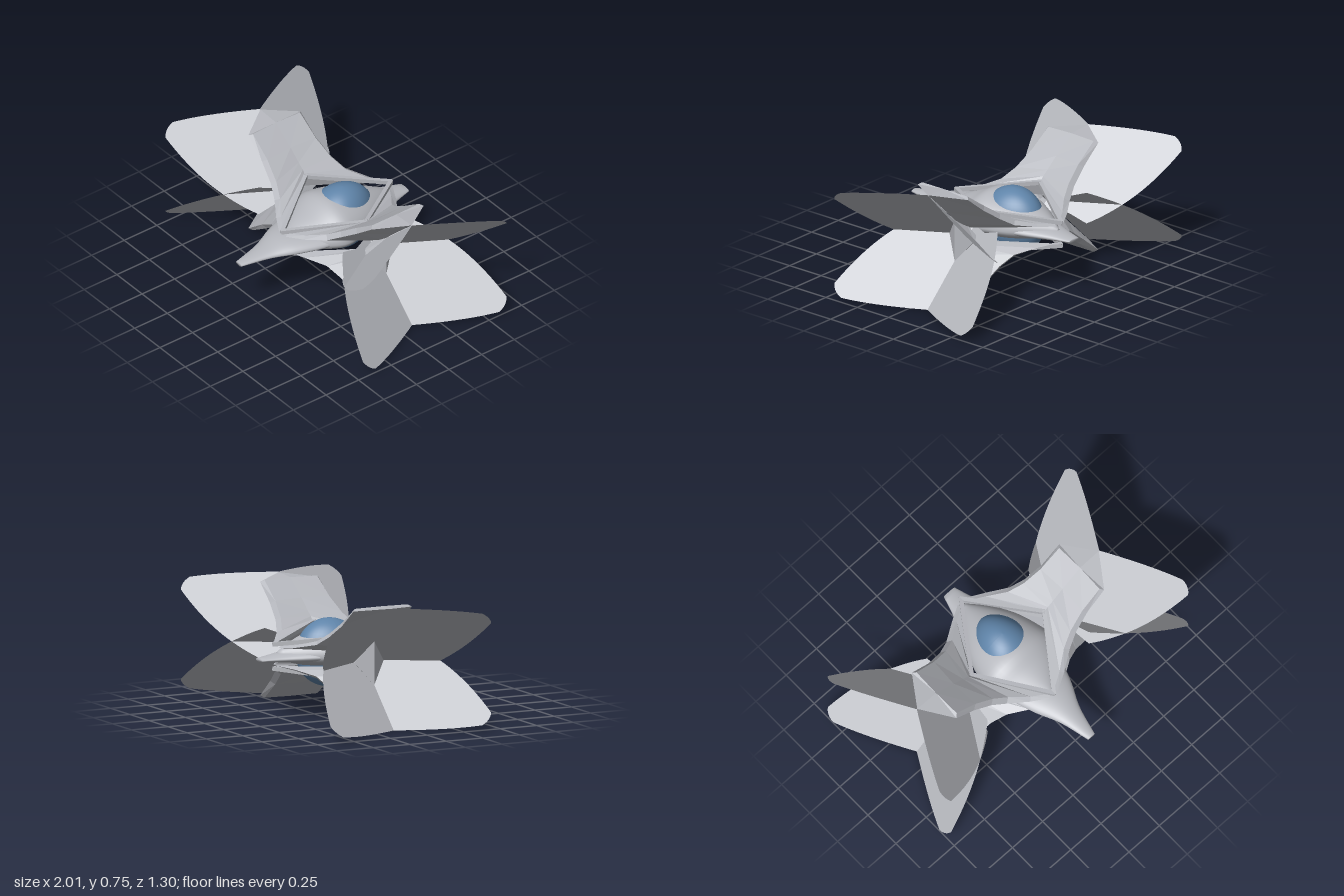
import * as THREE from 'three';

const MID = 0.375;   // height of the symmetry plane
const ZC = -0.1;     // depth of the wing axis

// Skin closed rings of [x, y, z] points, with fan caps at both ends
function loft(rings, flat) {
  const n = rings[0].length, pos = rings.flat(2), idx = [];
  for (let i = 0; i < rings.length - 1; i++) {
    for (let j = 0; j < n; j++) {
      const a = i * n + j, b = i * n + (j + 1) % n;
      idx.push(a, b, a + n, b, b + n, a + n);
    }
  }
  const last = (rings.length - 1) * n;
  for (let j = 1; j < n - 1; j++) {
    idx.push(0, j + 1, j, last, last + j, last + j + 1);
  }
  let g = new THREE.BufferGeometry();
  g.setAttribute('position', new THREE.Float32BufferAttribute(pos, 3));
  g.setIndex(idx);
  if (flat) g = g.toNonIndexed();
  g.computeVertexNormals();
  return g;
}

// Elliptical hull from smoothed stations [z, halfWidth, up, down, centreY]
function hull(stations) {
  const curveA = new THREE.CatmullRomCurve3(stations.map(s => new THREE.Vector3(s[0], s[1], s[2])));
  const curveB = new THREE.CatmullRomCurve3(stations.map(s => new THREE.Vector3(s[0], s[3], s[4])));
  const rings = [], steps = (stations.length - 1) * 4;
  for (let i = 0; i <= steps; i++) {
    const a = curveA.getPoint(i / steps), b = curveB.getPoint(i / steps), ring = [];
    for (let j = 0; j < 40; j++) {
      const t = j / 40 * Math.PI * 2, s = Math.sin(t);
      ring.push([a.y * Math.cos(t), b.z + s * (s > 0 ? a.z : b.y), a.x]);
    }
    rings.push(ring);
  }
  return loft(rings, false);
}

// One leaf-shaped panel, outlined in (z, y) and tilted onto its plane.
// Its root runs past the symmetry plane, so that paired leaves cross.
function leafGeometry() {
  const s = new THREE.Shape();
  s.moveTo(0, 0.33);
  s.lineTo(0.15, 0.32);
  s.lineTo(0.27, 0.275);
  s.quadraticCurveTo(0.335, 0.31, 0.4, MID);
  s.quadraticCurveTo(0.5, 0.475, 0.55, 0.65);
  s.quadraticCurveTo(0.53, 0.69, 0.475, 0.718);
  s.quadraticCurveTo(0.3, 0.745, 0, 0.75);
  const g = new THREE.ShapeGeometry(s, 12), p = g.attributes.position;
  for (let i = 0; i < p.count; i++) {
    const t = p.getX(i), y = p.getY(i);
    p.setXYZ(i, 0.36 + 1.05 * (y - MID) + 0.6 * t, y, t);
  }
  g.computeVertexNormals();
  return g;
}

// Wing arm: broad inner face, narrow bevel and an outer ridge.
// The root is notched to follow the diamond opening round the dome.
function armGeometry() {
  // edge x, edge y, half width, middle x, middle y, ridge x, ridge y, bevel depth
  const stations = [
    [0.02, 0.44, 0.41, 0.30, 0.505, 0.33, 0.42, 0.015],
    [0.12, 0.455, 0.35, 0.31, 0.52, 0.36, 0.42, 0.02],
    [0.23, 0.49, 0.27, 0.33, 0.54, 0.40, 0.43, 0.03],
    [0.32, 0.548, 0.23, 0.37, 0.57, 0.46, 0.47, 0.03],
    [0.44, 0.632, 0.205, 0.45, 0.636, 0.57, 0.58, 0.03],
    [0.59, 0.737, 0.2, 0.595, 0.74, 0.75, 0.748, 0.02],
  ];
  return loft(stations.map(([x, y, w, mx, my, rx, ry, b]) => [
    [mx, my, ZC], [x, y, ZC + w - 0.02], [x + b, y - b * 0.6, ZC + w],
    [rx, ry, ZC], [x + b, y - b * 0.6, ZC - w], [x, y, ZC - w + 0.02],
  ]), true);
}

export function createModel() {
  const model = new THREE.Group();
  const grey = new THREE.MeshStandardMaterial({ color: 0xb6b8be });
  grey.side = THREE.DoubleSide;
  const blue = new THREE.MeshStandardMaterial({ color: 0x5f84a9 });

  const add = (parent, name, geometry, material = grey) => {
    const m = new THREE.Mesh(geometry, material);
    m.name = name;
    parent.add(m);
    return m;
  };

  // Flat hull with pointed nose and blunt tail
  add(model, 'hull', hull([
    [-0.625, 0.045, 0.012, 0.012, 0.36], [-0.5, 0.085, 0.03, 0.025, 0.363],
    [-0.3, 0.17, 0.05, 0.045, 0.37], [-0.1, 0.21, 0.06, 0.06, MID],
    [0.1, 0.21, 0.06, 0.05, 0.372], [0.3, 0.15, 0.055, 0.035, 0.37],
    [0.45, 0.08, 0.032, 0.022, 0.363], [0.645, 0.028, 0.012, 0.012, 0.356],
  ]));

  // Dome that holds the cockpit
  add(model, 'dome', hull([
    [-0.5, 0.015, 0.03, 0.02, MID], [-0.4, 0.1, 0.08, 0.05, MID],
    [-0.25, 0.195, 0.135, 0.08, MID], [-0.1, 0.245, 0.17, 0.09, MID],
    [0.0, 0.262, 0.172, 0.09, MID], [0.1, 0.215, 0.125, 0.085, MID],
    [0.2, 0.13, 0.085, 0.07, MID], [0.3, 0.02, 0.04, 0.03, MID],
  ]));

  // Egg-shaped cockpit, broader toward the front
  const egg = new THREE.SphereGeometry(1, 40, 28), p = egg.attributes.position;
  for (let i = 0; i < p.count; i++) {
    const z = p.getZ(i);
    p.setXYZ(i, p.getX(i) * 0.175 * (1 + 0.2 * z), p.getY(i) * 0.21, z * 0.215);
  }
  egg.computeVertexNormals();
  add(model, 'cockpit', egg, blue).position.set(0, MID, -0.15);

  // Diamond frames above and below the dome
  const corners = [[0, 0.45, 0.31], [0.3, 0.51, ZC], [0, 0.45, -0.52], [-0.3, 0.51, ZC]];
  for (const side of [1, -1]) {
    const frame = new THREE.Group();
    frame.name = side > 0 ? 'upperFrame' : 'lowerFrame';
    const points = corners.map(([x, y, z]) => new THREE.Vector3(x, MID + side * (y - MID), z));
    points.forEach((a, i) => {
      const b = points[(i + 1) % 4];
      const bar = add(frame, 'frameBar', new THREE.BoxGeometry(0.025, 0.025, a.distanceTo(b) + 0.015));
      bar.position.copy(a).lerp(b, 0.5);
      bar.lookAt(b);
    });
    model.add(frame);
  }

  // Four arms, each carrying a front and a rear leaf
  const leaf = leafGeometry(), arm = armGeometry();
  for (const sx of [1, -1]) {
    const label = sx > 0 ? 'left' : 'right';
    for (const sy of [1, -1]) {
      const wing = new THREE.Group();
      wing.name = label + (sy > 0 ? 'UpperWing' : 'LowerWing');
      wing.scale.set(sx, sy, 1);
      wing.position.y = sy > 0 ? 0 : 2 * MID;
      add(wing, 'wingArm', arm);
      for (const sz of [1, -1]) {
        const m = add(wing, sz > 0 ? 'frontLeaf' : 'rearLeaf', leaf);
        m.scale.z = sz;
        m.position.z = ZC;
      }
      model.add(wing);
    }
    // Diamond hub nested where the leaves cross
    const diamond = (xTop, xSide, h, d) => [
      [xTop, MID + h, ZC], [xSide, MID, ZC + d], [xTop, MID - h, ZC], [xSide, MID, ZC - d]];
    const hub = add(model, label + 'Hub', loft([
      diamond(0.4, 0.38, 0.09, 0.09), diamond(0.5, 0.43, 0.135, 0.1),
    ], true));
    hub.scale.x = sx;
  }
  return model;
}
